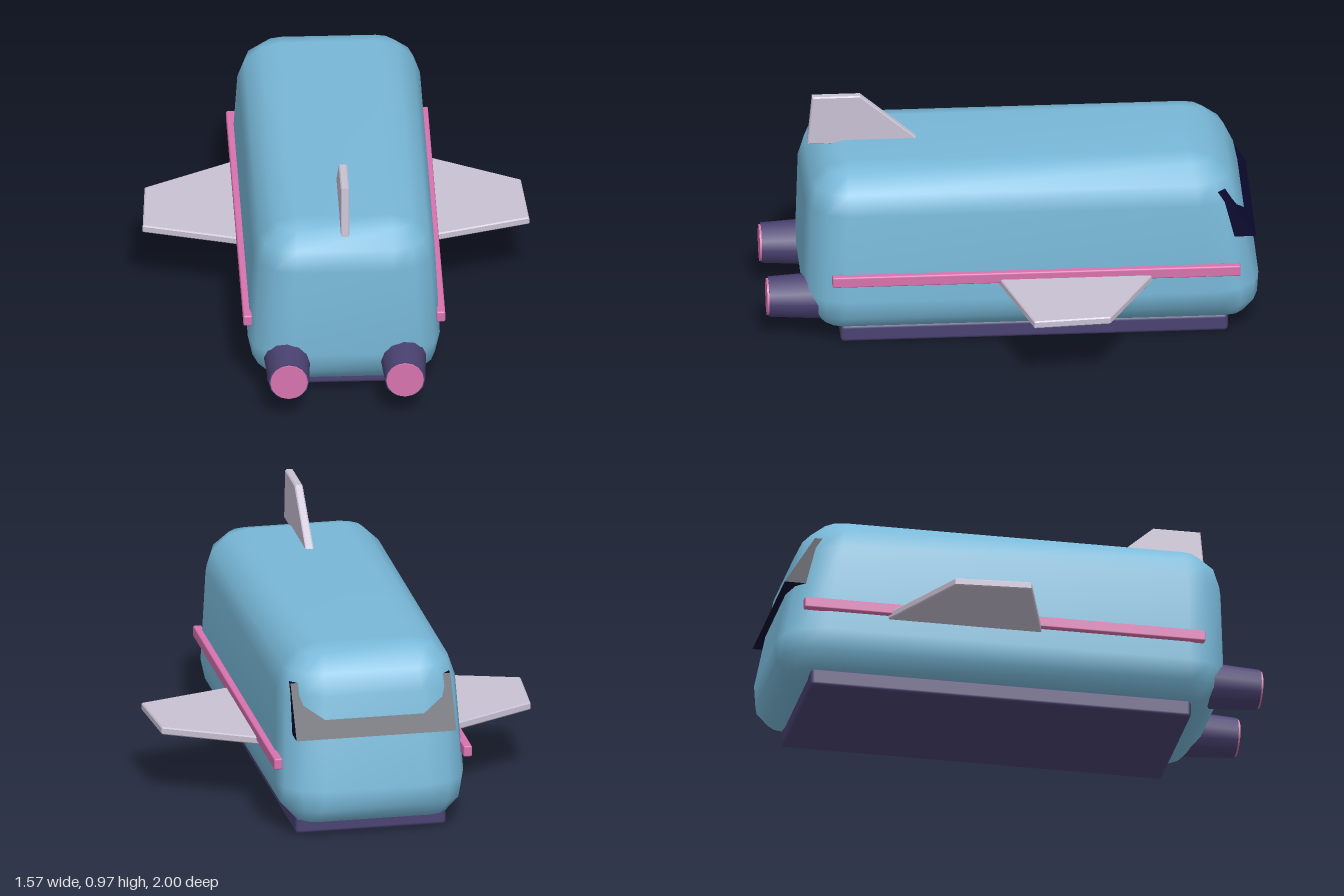
import * as THREE from 'three';
import { mergeVertices } from 'three/addons/utils/BufferGeometryUtils.js';
import { RoundedBoxGeometry } from 'three/addons/geometries/RoundedBoxGeometry.js';

function makeMaterial(name, color) {
  const m = new THREE.MeshStandardMaterial({ color });
  m.name = name;
  return m;
}

// Rounded box with a leaning nose, a slight taper and three-step corners
function hullGeometry() {
  const r = 0.17, bottom = 0.05, top = 0.77;
  const steps = [0, 1, 2, 3].map((i) => (i * Math.PI) / 6);
  const rows = [...steps.map((a) => -Math.PI / 2 + a), ...steps]; // latitude
  const cols = [0, 1, 2, 3].flatMap((q) => steps.map((a) => ({ q, a: (q * Math.PI) / 2 + a })));
  const pos = [], index = [];
  rows.forEach((lat, j) => {
    const y = (j < 4 ? bottom + r : top - r) + r * Math.sin(lat);
    const halfX = 0.39 - 0.05 * (y - 0.2);
    const front = -1.0 + 0.2 * (y - 0.2);
    const back = 0.855 - 0.025 * (y - 0.2);
    for (const { q, a } of cols) {
      const cx = q === 0 || q === 3 ? halfX - r : r - halfX;
      const cz = q < 2 ? back - r : front + r;
      pos.push(cx + r * Math.cos(lat) * Math.cos(a), y, cz + r * Math.cos(lat) * Math.sin(a));
    }
  });
  const n = cols.length;
  for (let j = 0; j < rows.length - 1; j++) {
    for (let i = 0; i < n; i++) {
      const a = j * n + i, b = j * n + ((i + 1) % n);
      index.push(a, a + n, b, b, a + n, b + n);
    }
  }
  // flat floor and roof between the four corner centres
  const t = (rows.length - 1) * n;
  index.push(0, 4, 8, 0, 8, 12, t, t + 8, t + 4, t, t + 12, t + 8);
  const g = new THREE.BufferGeometry();
  g.setAttribute('position', new THREE.Float32BufferAttribute(pos, 3));
  g.setIndex(index);
  const merged = mergeVertices(g, 1e-4);
  merged.computeVertexNormals();
  return merged;
}

// Outline extruded to a plate centred on its own plane, with softened edges
function plateGeometry(points, thickness, bevel = 0.005) {
  const shape = new THREE.Shape(points.map(([x, y]) => new THREE.Vector2(x, y)));
  const depth = thickness - 2 * bevel;
  const g = new THREE.ExtrudeGeometry(shape, {
    depth, bevelEnabled: bevel > 0, bevelThickness: bevel,
    bevelSize: bevel, bevelOffset: -bevel, bevelSegments: 1,
  });
  return g.translate(0, 0, -depth / 2);
}

export function createModel() {
  const group = new THREE.Group();
  const blue = makeMaterial('hull blue', 0x78b8d8);
  const purple = makeMaterial('dark purple', 0x4a4272);
  const pink = makeMaterial('pink', 0xd873ae);
  const grey = makeMaterial('pale lavender grey', 0xc9c1d4);
  const navy = makeMaterial('window navy', 0x0b0b30);

  const add = (name, geometry, material, x = 0, y = 0, z = 0) => {
    const mesh = new THREE.Mesh(geometry, material);
    mesh.name = name;
    mesh.position.set(x, y, z);
    group.add(mesh);
    return mesh;
  };

  add('hull', hullGeometry(), blue);

  // Skid plate underneath
  add('base', new RoundedBoxGeometry(0.62, 0.075, 1.57, 2, 0.015), purple, 0, 0.0375, -0.082);

  // Windscreen: a leaning slab that breaks through the nose
  const screen = plateGeometry([[-0.98, 0.44], [-0.855, 0.645], [-0.8, 0.645], [-0.88, 0.44]], 0.66, 0);
  add('windscreen', screen.rotateY(-Math.PI / 2), navy);

  // Tail fin
  const fin = plateGeometry([[0.82, 0.753], [0.8, 0.967], [0.605, 0.967], [0.36, 0.753]], 0.034);
  add('tailFin', fin.rotateY(-Math.PI / 2), grey);

  for (const side of [1, -1]) {
    const label = side > 0 ? 'left' : 'right';

    // Side strip
    add(label + 'Strip', new RoundedBoxGeometry(0.036, 0.046, 1.655, 1, 0.006), pink, side * 0.391, 0.322, -0.085);

    // Swept wing
    const outline = [[0.34, -0.588], [0.762, -0.362], [0.783, -0.052], [0.34, 0.082]];
    const wing = plateGeometry(outline.map(([x, z]) => [side * x, z]), 0.032);
    add(label + 'Wing', wing.rotateX(Math.PI / 2), grey, 0, 0.3, 0);

    // Thruster with glowing end
    const nozzle = new THREE.CylinderGeometry(0.082, 0.097, 0.25, 12).rotateX(Math.PI / 2);
    add(label + 'Thruster', nozzle, purple, side * 0.235, 0.18, 0.867);
    const glow = new THREE.CylinderGeometry(0.076, 0.076, 0.02, 16).rotateX(Math.PI / 2);
    add(label + 'ThrusterGlow', glow, pink, side * 0.235, 0.18, 0.99);
  }
  return group;
}
